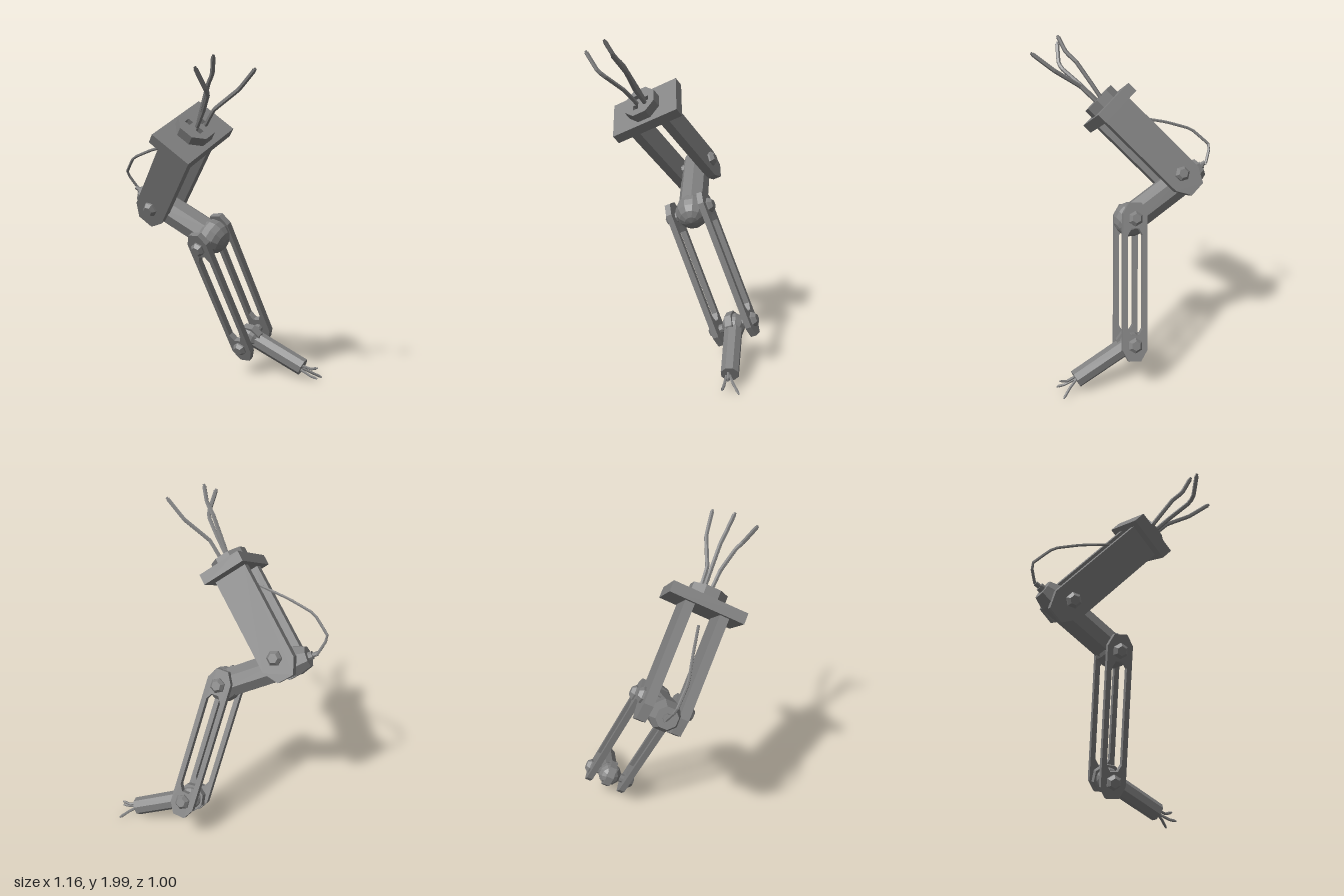
import * as THREE from 'three';

const V = (x, y, z) => new THREE.Vector3(x, y, z);
const mat = new THREE.MeshStandardMaterial({ color: 0x808080, flatShading: true, side: THREE.DoubleSide });

// Joint positions; every hinge turns about the same axis
const AXIS = V(0.729, 0.414, -0.548).normalize();
const PLATE = V(-0.27, 1.585, 0.128);
const ELBOW = V(-0.368, 1.155, -0.308);
const BALL = V(-0.103, 0.932, -0.113);
const WRIST = V(0.185, 0.238, -0.227);
const TIP = V(0.455, 0.08, 0.015);
const BACK = V(-0.5, 1.215, -0.455);

function add(parent, name, geo, x = 0, y = 0, z = 0) {
  const m = new THREE.Mesh(geo, mat);
  m.name = name;
  m.position.set(x, y, z);
  parent.add(m);
  return m;
}

// Group whose y points along dir and whose z is the hinge axis
function frame(root, name, origin, dir) {
  const x = dir.clone().cross(AXIS).normalize();
  const y = AXIS.clone().cross(x);
  const g = new THREE.Group();
  g.name = name;
  g.quaternion.setFromRotationMatrix(new THREE.Matrix4().makeBasis(x, y, AXIS));
  g.position.copy(origin);
  root.add(g);
  return g;
}

// Three-sided rounded end from angle a0, centred at height cy
const arc = (r, cy, a0) => Array.from({ length: 4 }, (_, i) => {
  const t = a0 + (Math.PI * i) / 3;
  return new THREE.Vector2(r * Math.cos(t), cy + r * Math.sin(t));
});
const stadium = (r, y0, y1) => [...arc(r, y1, 0), ...arc(r, y0, Math.PI)];

function slab(points, depth, hole) {
  const s = new THREE.Shape(points);
  if (hole) s.holes.push(new THREE.Path(hole));
  return new THREE.ExtrudeGeometry(s, { depth, bevelEnabled: false }).translate(0, 0, -depth / 2);
}

const lathe = (profile, sides, start = 0) =>
  new THREE.LatheGeometry(profile.map(p => new THREE.Vector2(...p)), sides, start);

// Tapered bolt head pointing outwards along z
function bolt(g, y, z, s) {
  const geo = lathe([[0, 0], [0.047, 0], [0.047, 0.012], [0.029, 0.034], [0, 0.034]], 6);
  add(g, 'bolt', geo, 0, y, z).rotation.x = s * Math.PI / 2;
}

function axle(g, y, r, len) {
  add(g, 'axle', new THREE.CylinderGeometry(r, r, len, 8), 0, y, 0).rotation.x = Math.PI / 2;
}

// Wire bent in nearly straight lengths, with a narrow bare end
function wire(root, name, pts, r) {
  const p = pts.map(q => V(...q));
  const curve = new THREE.CatmullRomCurve3(p, false, 'catmullrom', 0.08);
  add(root, name, new THREE.TubeGeometry(curve, 16, r, 6));
  const end = p[p.length - 1], dir = curve.getTangent(1);
  const bare = new THREE.LineCurve3(end.clone().addScaledVector(dir, -0.01), end.clone().addScaledVector(dir, 0.012));
  add(root, name + 'Tip', new THREE.TubeGeometry(bare, 1, r * 0.65, 6));
}

export function createModel() {
  const root = new THREE.Group();
  root.name = 'mechanicalArm';
  const up = PLATE.clone().sub(ELBOW);
  const upLen = up.length();

  // Shoulder plate with a pierced octagonal socket
  const shoulder = frame(root, 'shoulder', PLATE, up);
  add(shoulder, 'mountingPlate', new THREE.BoxGeometry(0.268, 0.065, 0.447), 0, -0.0325, 0);
  const ring = new THREE.Shape(Array.from({ length: 8 }, (_, i) => {
    const t = (i + 0.5) * Math.PI / 4;
    return new THREE.Vector2(0.112 * Math.cos(t), 0.112 * Math.sin(t));
  }));
  for (let i = 0; i < 3; i++) {
    const t = i * Math.PI * 2 / 3 + 0.5, x = 0.046 * Math.cos(t), y = 0.046 * Math.sin(t), h = 0.017;
    ring.holes.push(new THREE.Path([[-h, -h], [-h, h], [h, h], [h, -h]].map(c => new THREE.Vector2(x + c[0], y + c[1]))));
  }
  const socket = new THREE.ExtrudeGeometry(ring, { depth: 0.06, bevelEnabled: false });
  add(shoulder, 'wireSocket', socket.rotateX(-Math.PI / 2));

  // Upper arm: two broad bars with chamfered lower ends
  const upper = frame(root, 'upperArm', ELBOW, up);
  for (const s of [-1, 1]) {
    const top = upLen - 0.06;
    const pts = [new THREE.Vector2(0.104, top), new THREE.Vector2(-0.104, top), ...arc(0.104, -0.045, Math.PI)];
    add(upper, 'upperBar', slab(pts, 0.056), 0, 0, s * 0.104);
    bolt(upper, 0, s * 0.132, s);
  }
  axle(upper, 0, 0.03, 0.26);

  // Elbow arm: octagonal rod from the rear wire fitting to the ball
  const rear = BACK.clone().sub(BALL);
  const L = rear.length();
  const elbow = frame(root, 'elbowArm', BALL, rear);
  const rod = [[0, 0], [0.092, 0], [0.092, L - 0.12], [0.064, L - 0.045], [0.026, L - 0.045],
    [0.026, L - 0.02], [0.015, L - 0.02], [0.015, L + 0.01], [0, L + 0.01]];
  add(elbow, 'elbowRod', lathe(rod, 8, Math.PI / 8));
  add(elbow, 'elbowBall', new THREE.SphereGeometry(0.108, 12, 8));

  // Lower arm: two slotted links bolted at both ends
  const down = BALL.clone().sub(WRIST);
  const D = down.length();
  const lower = frame(root, 'lowerArm', WRIST, down);
  for (const s of [-1, 1]) {
    const hole = stadium(0.046, 0.1, D - 0.1).reverse();
    add(lower, 'slottedLink', slab(stadium(0.076, -0.03, D + 0.03), 0.038, hole), 0, 0, s * 0.114);
    bolt(lower, 0, s * 0.131, s);
    bolt(lower, D, s * 0.131, s);
  }
  axle(lower, 0, 0.028, 0.22);
  axle(lower, D, 0.035, 0.22);

  // Wrist ball with a band, and the octagonal hand rod
  const reach = TIP.clone().sub(WRIST);
  const H = reach.length();
  const hand = frame(root, 'hand', WRIST, reach);
  add(hand, 'wristBall', new THREE.SphereGeometry(0.076, 10, 8));
  axle(hand, 0, 0.088, 0.045);
  add(hand, 'handRod', new THREE.CylinderGeometry(0.056, 0.058, H - 0.02, 8), 0, (H + 0.02) / 2, 0);

  // Loose wires at the shoulder, elbow and hand
  wire(root, 'shoulderWire', [[-0.25, 1.6, 0.12], [-0.24, 1.7, 0.19], [-0.225, 1.85, 0.3], [-0.217, 1.9, 0.36], [-0.225, 1.985, 0.414]], 0.013);
  wire(root, 'shoulderWire', [[-0.265, 1.6, 0.17], [-0.25, 1.7, 0.28], [-0.255, 1.79, 0.41], [-0.275, 1.82, 0.44], [-0.335, 1.92, 0.476]], 0.013);
  wire(root, 'shoulderWire', [[-0.215, 1.6, 0.14], [-0.18, 1.71, 0.25], [-0.07, 1.82, 0.37], [-0.018, 1.917, 0.482]], 0.013);
  wire(root, 'elbowWire', [[-0.34, 1.51, -0.01], [-0.46, 1.465, -0.2], [-0.55, 1.41, -0.34], [-0.575, 1.31, -0.46], [-0.51, 1.215, -0.46]], 0.009);
  wire(root, 'handWire', [[0.44, 0.08, 0.01], [0.51, 0.045, 0.03], [0.565, 0.016, 0.038]], 0.009);
  wire(root, 'handWire', [[0.44, 0.095, 0.015], [0.495, 0.078, 0.055], [0.52, 0.088, 0.08]], 0.009);
  wire(root, 'handWire', [[0.435, 0.07, 0.02], [0.485, 0.04, 0.08], [0.507, 0.035, 0.108]], 0.009);
  return root;
}
